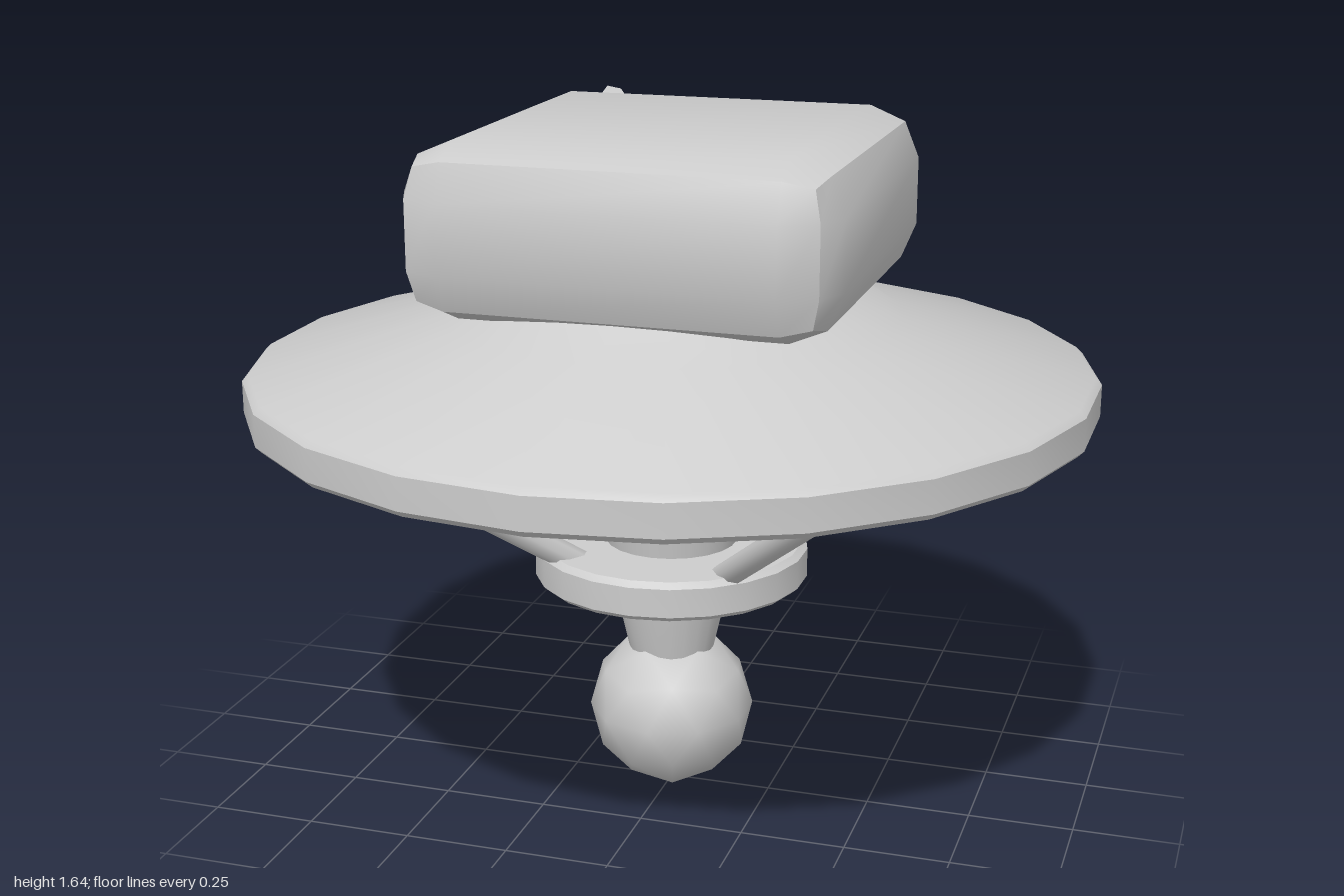
import * as THREE from 'three';
import { toCreasedNormals } from 'three/addons/utils/BufferGeometryUtils.js';
import { RoundedBoxGeometry } from 'three/addons/geometries/RoundedBoxGeometry.js';

const SIDES = 22;
const CREASE = 0.6;

export function createModel() {
  const model = new THREE.Group();
  const plainGrey = new THREE.MeshStandardMaterial({ color: 0xcccccc });

  const add = (name, geometry, parent = model) => {
    const mesh = new THREE.Mesh(geometry, plainGrey);
    mesh.name = name;
    parent.add(mesh);
    return mesh;
  };

  // Turned part from [radius, y] points, listed bottom centre to top centre
  const turned = (points) => toCreasedNormals(
    new THREE.LatheGeometry(points.map(([r, y]) => new THREE.Vector2(r, y)), SIDES), CREASE);

  // Straight rod between two points
  const rod = (a, b, radius, sides) => {
    const dir = b.clone().sub(a);
    const geometry = new THREE.CylinderGeometry(radius, radius, dir.length(), sides);
    geometry.applyQuaternion(new THREE.Quaternion().setFromUnitVectors(
      new THREE.Vector3(0, 1, 0), dir.clone().normalize()));
    const mid = a.clone().add(b).multiplyScalar(0.5);
    return geometry.translate(mid.x, mid.y, mid.z);
  };

  // Broad dish, slightly hollow underneath
  add('dish', turned([
    [0, 1.06], [0.9, 0.995], [0.95, 0.97], [0.985, 0.97], [1, 0.985], [1, 1.06],
    [0.985, 1.075], [0.54, 1.2], [0.44, 1.27], [0.36, 1.31], [0, 1.31],
  ]));

  // Rounded block on top
  const block = add('block', toCreasedNormals(new RoundedBoxGeometry(1, 0.4, 1, 1, 0.12), CREASE));
  block.position.y = 1.44;

  // Tapered column, collar and ball tip
  add('column', turned([
    [0, 0.34], [0.1, 0.34], [0.145, 0.54], [0.16, 0.64], [0.22, 0.97], [0.238, 1.07], [0, 1.07],
  ]));
  add('collar', turned([
    [0, 0.54], [0.315, 0.54], [0.33, 0.553], [0.33, 0.622], [0.315, 0.635], [0, 0.635],
  ]));
  const ball = add('ballTip', new THREE.IcosahedronGeometry(0.2, 1)
    .rotateZ(Math.atan(2 / (1 + Math.sqrt(5)))));
  ball.position.y = 0.2;

  // Four diagonal struts
  const struts = new THREE.Group();
  struts.name = 'struts';
  model.add(struts);
  for (const sx of [-1, 1]) {
    for (const sz of [-1, 1]) {
      const foot = new THREE.Vector3(0.165 * sx, 0.6, 0.165 * sz);
      const head = new THREE.Vector3(0.61 * sx, 1.015, 0.61 * sz);
      add('strut', toCreasedNormals(rod(foot, head, 0.032, 8), 1), struts);
    }
  }

  // Bent handle at the back: two six-sided rods mitred at the elbow
  const base = new THREE.Vector3(-0.3, 1.315, -0.42);
  const elbow = new THREE.Vector3(-0.435, 1.46, -0.665);
  const tip = new THREE.Vector3(-0.335, 1.6, -0.585);
  const handle = new THREE.Group();
  handle.name = 'handle';
  model.add(handle);
  const dirIn = elbow.clone().sub(base).normalize();
  const dirOut = tip.clone().sub(elbow).normalize();
  const mitre = dirIn.clone().add(dirOut).normalize();
  for (const [name, a, b, dir, atStart] of [
    ['handleArm', base, elbow, dirIn, false],
    ['handleGrip', elbow, tip, dirOut, true],
  ]) {
    const geometry = rod(a, b, 0.037, 6);
    const pos = geometry.attributes.position;
    const p = new THREE.Vector3();
    const middle = a.distanceTo(b) / 2;
    for (let i = 0; i < pos.count; i++) {
      p.fromBufferAttribute(pos, i);
      const along = p.clone().sub(a).dot(dir);
      if ((along < middle) !== atStart) continue;
      p.addScaledVector(dir, -p.clone().sub(elbow).dot(mitre) / dir.dot(mitre));
      pos.setXYZ(i, p.x, p.y, p.z);
    }
    add(name, toCreasedNormals(geometry, 1.1), handle);
  }

  return model;
}
